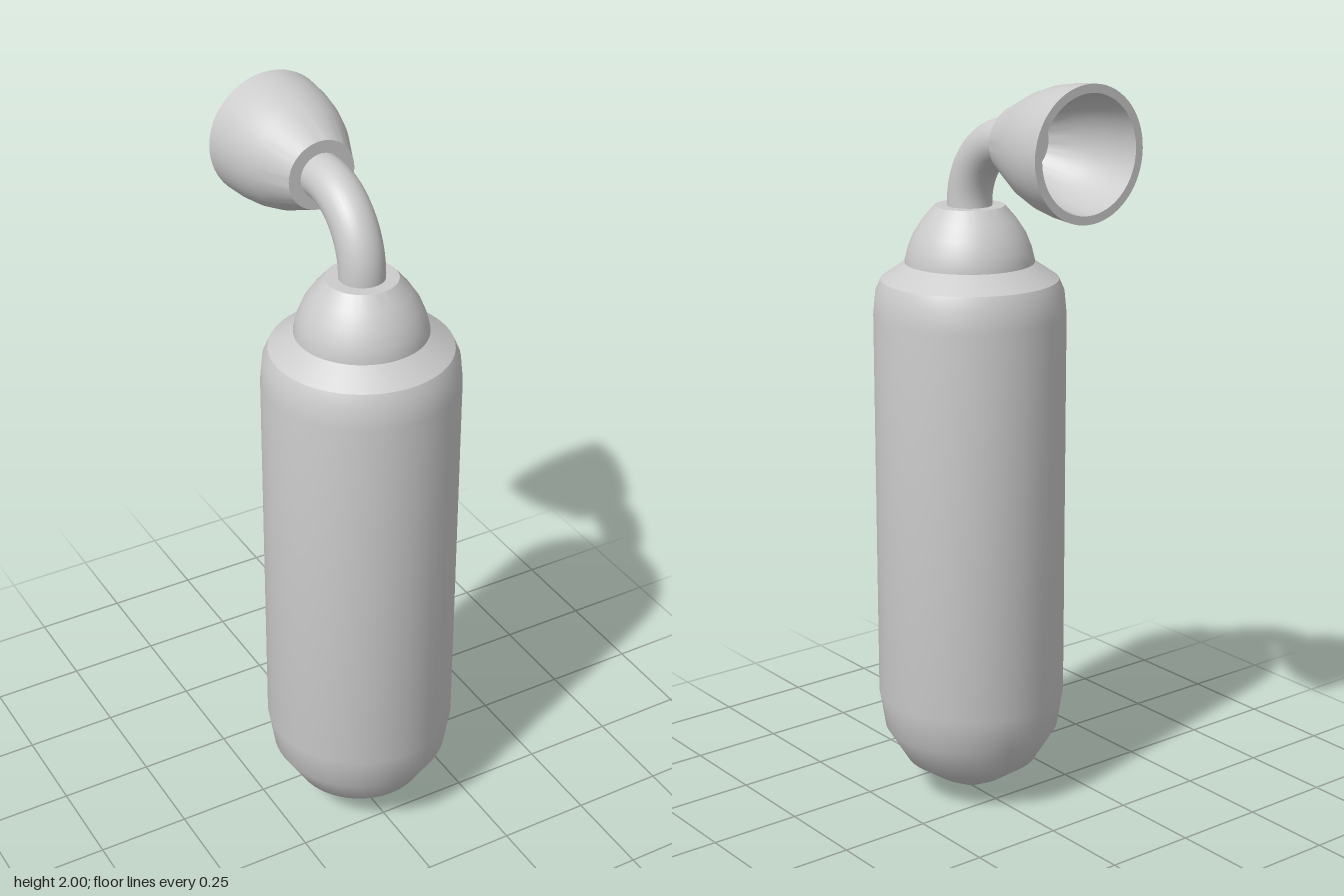
import * as THREE from 'three';
import { toCreasedNormals } from 'three/addons/utils/BufferGeometryUtils.js';

const AXIS_Z = 0.11; // upright axis of the body
const HORN_Y = 1.832; // height of the horn's axis

export function createModel() {
  const group = new THREE.Group();
  const material = new THREE.MeshStandardMaterial({ color: 0xcccccc });

  const add = (name, geometry) => {
    const mesh = new THREE.Mesh(geometry, material);
    mesh.name = name;
    group.add(mesh);
    return mesh;
  };
  const lathe = (profile) => toCreasedNormals(
    new THREE.LatheGeometry(profile.map(([r, y]) => new THREE.Vector2(r, y)), 64), 0.55);

  // Tank with a blunt pointed base and a bevelled shoulder
  add('body', lathe([
    [0, 0], [0.035, 0.016], [0.1, 0.05], [0.18, 0.105], [0.238, 0.2], [0.254, 0.3],
    [0.254, 1.36], [0.248, 1.42], [0.234, 1.452], [0.168, 1.497], [0, 1.497],
  ])).position.z = AXIS_Z;

  // Domed collar with a flat top
  add('collar', lathe([
    [0, 1.48], [0.17, 1.48], [0.17, 1.502], [0.162, 1.535], [0.147, 1.572],
    [0.122, 1.61], [0.092, 1.645], [0, 1.645],
  ])).position.z = AXIS_Z;

  // Neck curving from the collar into the horn
  const neck = new THREE.CurvePath();
  const p = (y, z) => new THREE.Vector3(0, y, z);
  neck.add(new THREE.LineCurve3(p(1.6, AXIS_Z), p(1.65, AXIS_Z)));
  neck.add(new THREE.CubicBezierCurve3(
    p(1.65, AXIS_Z), p(1.75, AXIS_Z), p(HORN_Y, 0.03), p(HORN_Y, -0.07)));
  neck.add(new THREE.LineCurve3(p(HORN_Y, -0.07), p(HORN_Y, -0.12)));
  add('neck', new THREE.TubeGeometry(neck, 40, 0.059, 32));

  // Hollow flared horn opening towards the back
  const horn = add('horn', lathe([
    [0, 0.09], [0.092, 0.09], [0.094, 0.096], [0.14, 0.198], [0.157, 0.255],
    [0.166, 0.31], [0.17, 0.366], [0.148, 0.366], [0.143, 0.31], [0.133, 0.255],
    [0.116, 0.198], [0.078, 0.115], [0, 0.115],
  ]));
  horn.rotation.x = -Math.PI / 2;
  horn.position.y = HORN_Y;

  return group;
}
